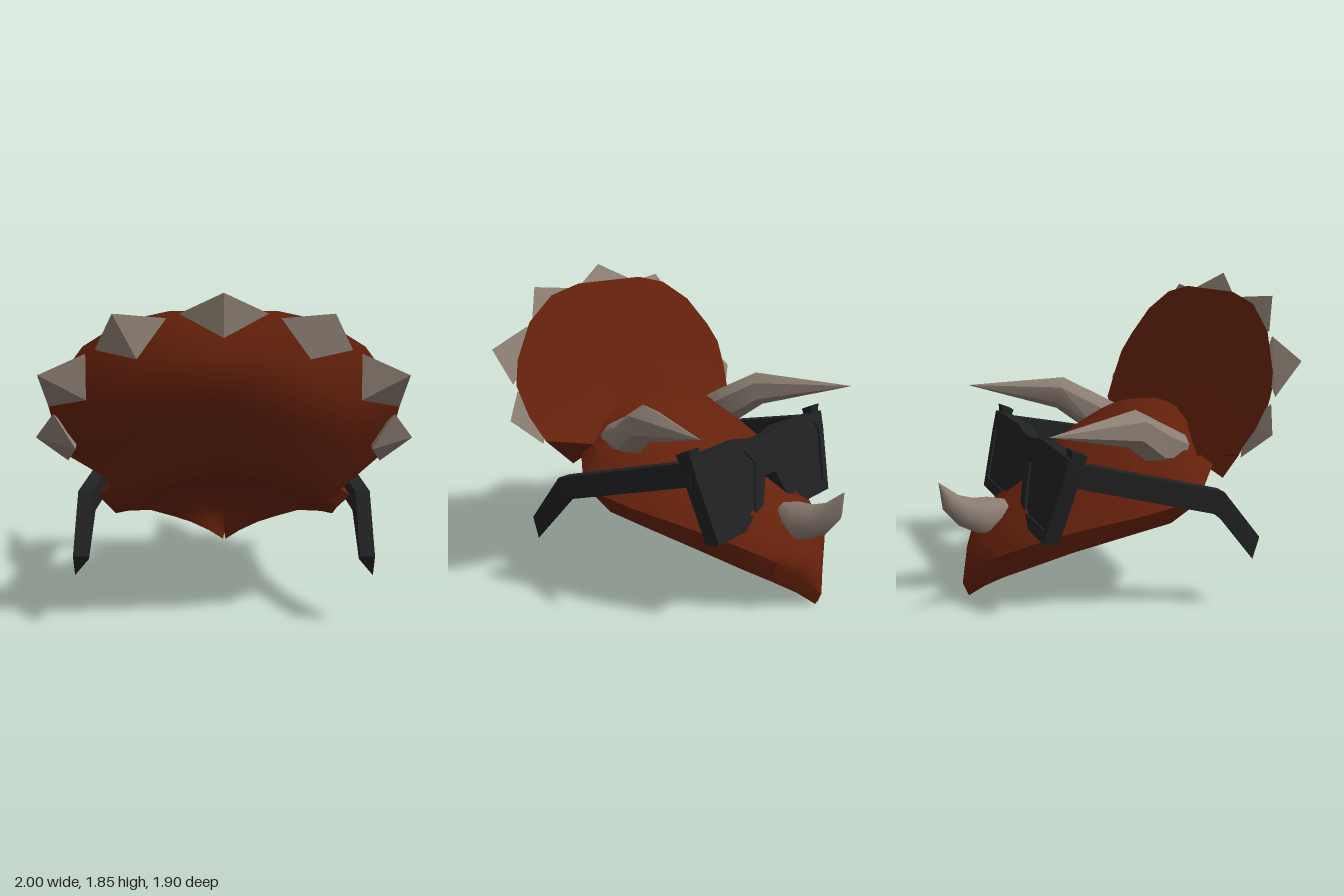
import * as THREE from 'three';
import { toCreasedNormals } from 'three/addons/utils/BufferGeometryUtils.js';
import { ConvexGeometry } from 'three/addons/geometries/ConvexGeometry.js';

const mat = (name, color) => Object.assign(new THREE.MeshStandardMaterial({ color }), { name });

// Skin over equal-length rings; an end with a centre point is closed by a fan. Turned outward by its signed volume.
function loft(rings, start, end, crease) {
  const n = rings[0].length, pts = rings.flat(), tris = [];
  for (let i = 0; i < rings.length - 1; i++)
    for (let j = 0; j < n; j++) {
      const a = i * n + j, b = i * n + (j + 1) % n;
      tris.push([a, b, b + n], [a, b + n, a + n]);
    }
  const last = (rings.length - 1) * n, endIndex = pts.push(end) - 1;
  for (let j = 0; j < n; j++) tris.push([endIndex, last + j, last + (j + 1) % n]);
  if (start) {
    const startIndex = pts.push(start) - 1;
    for (let j = 0; j < n; j++) tris.push([startIndex, (j + 1) % n, j]);
  }
  const v = pts.map(p => new THREE.Vector3(...p));
  const volume = tris.reduce((s, [a, b, c]) => s + v[a].dot(v[b].clone().cross(v[c])), 0);
  const g = new THREE.BufferGeometry();
  g.setAttribute('position', new THREE.Float32BufferAttribute(pts.flat(), 3));
  g.setIndex(tris.flatMap(t => volume < 0 ? [t[0], t[2], t[1]] : t));
  return toCreasedNormals(g, crease);
}

// Completes a half ring whose first and last points lie on x = 0
const mirrorRing = half => [...half, ...half.slice(1, -1).reverse().map(([x, y, z]) => [-x, y, z])];

// Tapering horn along [x, y, z, radius] stations
function horn(stations, tip, sides) {
  const p = stations.map(s => new THREE.Vector3(...s.slice(0, 3)));
  const end = new THREE.Vector3(...tip);
  const rings = p.map((c, i) => {
    const dir = (p[i + 1] || end).clone().sub(p[i - 1] || c).normalize();
    const side = new THREE.Vector3(0, 1, 0).cross(dir).normalize();
    const up = dir.clone().cross(side);
    return Array.from({ length: sides }, (_, j) => {
      const a = j / sides * Math.PI * 2 + Math.PI / 2;
      return c.clone().addScaledVector(side, Math.cos(a) * stations[i][3])
        .addScaledVector(up, Math.sin(a) * stations[i][3]).toArray();
    });
  });
  return loft(rings, p[0].toArray(), tip, 1.0);
}

const polygon = (Type, points) => new Type(points.map(p => new THREE.Vector2(...p)));

export function createModel() {
  const model = new THREE.Group();
  const hide = mat('rust hide', 0x65210b), bone = mat('grey bone', 0x8a7c71), black = mat('black plastic', 0x202122);
  const add = (name, geometry, material, parent = model) => {
    const m = new THREE.Mesh(geometry, material);
    m.name = name;
    parent.add(m);
    return m;
  };

  // Head, arched underneath, its open rear sunk in the frill:
  // z, half width, bottom, cheek edge and top heights, forward lean of the beak sections
  const head = [
    [0.52, 0.55, 0.76, 0.82, 1.07, 0], [0.33, 0.72, 0.60, 0.67, 1.07, 0], [0.2, 0.71, 0.52, 0.64, 1.03, 0],
    [0, 0.66, 0.47, 0.59, 0.92, 0], [-0.33, 0.54, 0.37, 0.51, 0.72, 0], [-0.53, 0.385, 0.26, 0.41, 0.56, 0],
    [-0.65, 0.26, 0.18, 0.32, 0.4, 0.3], [-0.73, 0.12, 0.09, 0.22, 0.29, 0.28], [-0.8, 0.01, 0, 0.06, 0.08, 0.4],
  ].map(([z, w, b, c, t, lean]) => {
    const h = t - c, arch = t - b;
    return mirrorRing([
      [0, b + arch * 0.56], [w * 0.5, b + arch * 0.4], [w * 0.78, b + arch * 0.06], [w * 0.9, b],
      [w, c], [w * 0.84, c + h * 0.45], [w * 0.55, c + h * 0.82], [w * 0.25, t - h * 0.02], [0, t],
    ].map(([x, y]) => [x, y, z - lean * (y - b)]));
  });
  add('head', loft(head, null, [0, 0.04, -0.816], 0.6), hide);

  // Neck frill: flat face towards the head, domed back
  const rim = mirrorRing([
    [0, 1.75, 0.78], [0.27, 1.75, 0.78], [0.5, 1.7, 0.77], [0.71, 1.57, 0.73], [0.86, 1.38, 0.67], [0.92, 1.25, 0.62],
    [0.9, 1.08, 0.55], [0.85, 0.94, 0.48], [0.52, 0.86, 0.385], [0.28, 0.9, 0.42], [0, 0.92, 0.43],
  ]);
  const dome = mirrorRing([
    [0, 1.55, 0.95], [0.17, 1.55, 0.95], [0.36, 1.5, 0.93], [0.5, 1.4, 0.9], [0.64, 1.28, 0.84], [0.68, 1.15, 0.78],
    [0.66, 1.02, 0.7], [0.63, 0.86, 0.63], [0.57, 0.72, 0.57], [0.28, 0.83, 0.64], [0, 0.93, 0.72],
  ]);
  add('frill', loft([rim, dome], [0, 1.3, 0.59], [0, 1.31, 0.92], 1.0), hide);

  // Bony plates round the rim: two rim corners, a corner on the dome, a corner inside, the tip
  const spikes = [
    [[-0.22, 1.74, 0.81], [0.22, 1.74, 0.81], [0, 1.63, 0.89], [0, 1.68, 0.79], [0, 1.845, 0.88]],
    [[0.28, 1.72, 0.83], [0.64, 1.56, 0.79], [0.42, 1.53, 0.915], [0.45, 1.6, 0.78], [0.54, 1.745, 0.87]],
    [[0.69, 1.54, 0.775], [0.91, 1.25, 0.66], [0.69, 1.31, 0.805], [0.72, 1.4, 0.7], [0.93, 1.435, 0.8]],
    [[0.89, 1.21, 0.65], [0.85, 0.92, 0.5], [0.78, 1.02, 0.65], [0.78, 1.07, 0.56], [1.0, 1.07, 0.59]],
  ];
  spikes.forEach((corners, i) => {
    for (const s of i ? [1, -1] : [1])
      add('frillSpike', new ConvexGeometry(corners.map(([x, y, z]) => new THREE.Vector3(x * s, y, z))), bone);
  });

  // Horns
  for (const s of [1, -1])
    add(s > 0 ? 'leftBrowHorn' : 'rightBrowHorn', horn([
      [s * 0.46, 0.89, 0.36, 0.08], [s * 0.455, 0.93, 0.2, 0.12], [s * 0.55, 1.06, 0, 0.105],
    ], [s * 0.76, 1.115, -0.56], 6), bone);
  add('noseHorn', horn([
    [0, 0.5, -0.55, 0.07], [0, 0.475, -0.68, 0.12], [0, 0.52, -0.8, 0.09], [0, 0.59, -0.885, 0.06],
  ], [0, 0.715, -0.95], 8), bone);

  // Sunglasses front, drawn flat and tilted back
  const glasses = new THREE.Group();
  glasses.name = 'sunglasses';
  model.add(glasses);
  const front = new THREE.Group();
  front.name = 'glassesFront';
  front.position.set(0, 0.47, -0.485);
  front.rotation.x = 0.25;
  glasses.add(front);
  const half = [[0.05, 0.25], [0.12, 0.1], [0.17, 0], [0.57, 0], [0.64, 0.38], [0.65, 0.49], [0.2, 0.5], [0.05, 0.47]];
  const flip = pts => pts.map(([x, y]) => [-x, y]).reverse();
  const frame = polygon(THREE.Shape, [...half, ...flip(half)]);
  const opening = [[0.12, 0.34], [0.21, 0.065], [0.53, 0.065], [0.59, 0.38], [0.56, 0.43], [0.2, 0.43]];
  const lenses = [opening, flip(opening)];
  frame.holes = lenses.map(o => polygon(THREE.Path, o));
  const slab = (shape, depth) =>
    new THREE.ExtrudeGeometry(shape, { depth, bevelEnabled: false }).translate(0, 0, -depth / 2);
  add('frame', slab(frame, 0.09), black, front);
  for (const o of lenses) add('lens', slab(polygon(THREE.Shape, o), 0.065), black, front);

  // Temple arms: side outline in (-z, y), splayed outwards, tail cut to a point on the outside
  const arm = [[0.39, 1.0], [0.31, 0.965], [0.33, 0.92], [-0.43, 0.725], [-0.67, 0.43], [-0.63, 0.305], [-0.39, 0.6], [0.39, 0.8]];
  for (const s of [1, -1]) {
    const g = slab(polygon(THREE.Shape, arm), 0.08).rotateY(Math.PI / 2);
    const p = g.attributes.position;
    for (let i = 0; i < p.count; i++) {
      if (p.getY(i) < 0.32 && p.getX(i) * s < 0) p.setY(i, 0.4);
      p.setX(i, p.getX(i) + s * (0.605 + 0.17 * THREE.MathUtils.clamp((p.getZ(i) + 0.38) / 0.8, 0, 1)));
    }
    g.computeVertexNormals();
    add(s > 0 ? 'leftTemple' : 'rightTemple', g, black, glasses);
  }
  return model;
}
